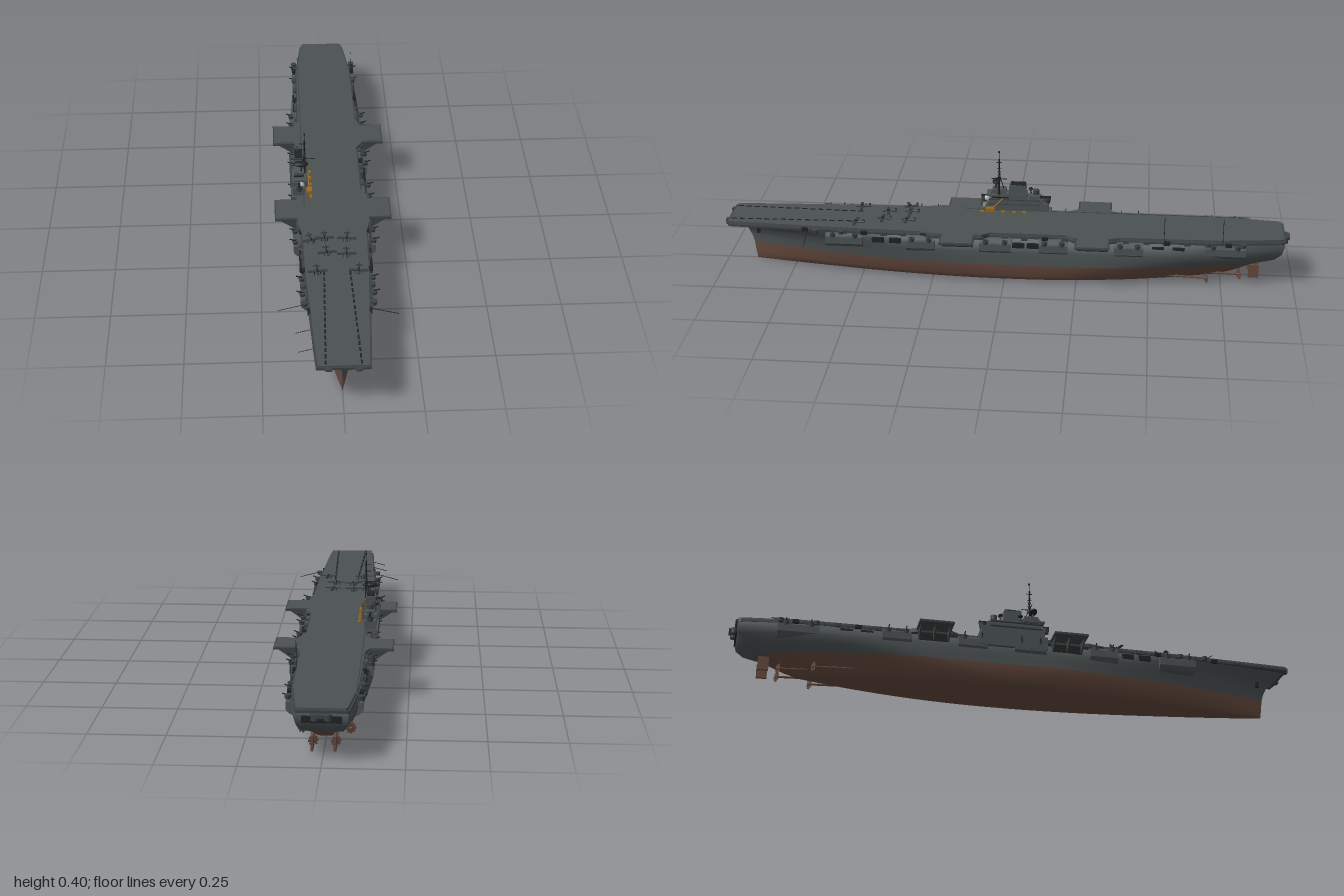
import * as THREE from 'three';

const mat = (name, color, side = THREE.FrontSide) => {
  const m = new THREE.MeshStandardMaterial({ color, side });
  m.name = name;
  return m;
};

export function createModel() {
  const ship = new THREE.Group();
  ship.name = 'aircraftCarrier';
  const deckGrey = mat('deck grey', 0x4b5052);
  const hullGrey = mat('hull grey', 0x4d5353, THREE.DoubleSide);
  const hullRed = mat('underwater brown', 0x65493e, THREE.DoubleSide);
  const trim = mat('trim grey', 0x3c4242, THREE.DoubleSide);
  const dark = mat('dark opening', 0x1f2323);
  const planeGrey = mat('aircraft grey', 0x343c3e);
  const yellow = mat('crane yellow', 0x9a6a1c);
  const pale = mat('pale dome', 0xb4b8b8);

  const add = (name, geo, m, x = 0, y = 0, z = 0, parent = ship) => {
    const mesh = new THREE.Mesh(geo, m);
    mesh.name = name;
    mesh.position.set(x, y, z);
    parent.add(mesh);
    return mesh;
  };
  const box = (name, m, w, h, d, x, y, z, parent) => add(name, new THREE.BoxGeometry(w, h, d), m, x, y, z, parent);
  const cyl = (name, m, r0, r1, h, x, y, z, parent, n = 12) => add(name, new THREE.CylinderGeometry(r0, r1, h, n), m, x, y, z, parent);
  const rod = (name, m, a, b, r) => {
    const p = new THREE.Vector3(...a), q = new THREE.Vector3(...b), d = q.clone().sub(p);
    const mesh = cyl(name, m, r, r, d.length(), 0, 0, 0, ship, 6);
    mesh.position.copy(p).add(q).multiplyScalar(0.5);
    mesh.quaternion.setFromUnitVectors(new THREE.Vector3(0, 1, 0), d.normalize());
  };

  // Hull levels: y, bow z, stern z, max half width, bow half width, stern half width, entrance length, run length
  const levels = [
    [0.004, 0.895, -0.70, 0.095, 0.000, 0.004, 0.95, 0.70],
    [0.010, 0.897, -0.74, 0.114, 0.001, 0.010, 0.92, 0.68],
    [0.030, 0.900, -0.79, 0.128, 0.002, 0.022, 0.88, 0.66],
    [0.070, 0.905, -0.86, 0.130, 0.002, 0.045, 0.84, 0.60],
    [0.095, 0.912, -0.93, 0.130, 0.002, 0.064, 0.80, 0.55],
    [0.120, 0.925, -0.955, 0.130, 0.003, 0.076, 0.76, 0.50],
    [0.140, 0.943, -0.96, 0.125, 0.020, 0.080, 0.72, 0.45],
    [0.155, 0.960, -0.96, 0.112, 0.050, 0.080, 0.60, 0.35],
    [0.168, 0.975, -0.955, 0.102, 0.074, 0.078, 0.50, 0.25],
  ];
  const N = 48;
  const hullPoint = (l, j) => {
    const [y, zb, zs, w, wb, ws, L, R] = l;
    const z = zb + (zs - zb) * (0.5 - 0.5 * Math.cos(Math.PI * j / N));
    const u = Math.min(1, (zb - z) / L), v = Math.min(1, (z - zs) / R);
    const bow = wb + (w - wb) * (1 - Math.pow(1 - u, 1.9));
    const stern = ws + (w - ws) * (1 - Math.pow(1 - v, 2));
    return [Math.min(bow, stern), y, z];
  };
  // Cross-section rows joined from bow to stern
  const skin = (rows) => {
    const pos = [], idx = [], n = rows[0].length;
    rows.forEach(r => r.forEach(p => pos.push(...p)));
    for (let i = 0; i < rows.length - 1; i++) for (let j = 0; j < n - 1; j++) {
      const a = i * n + j, c = a + n;
      idx.push(a, a + 1, c, a + 1, c + 1, c);
    }
    const g = new THREE.BufferGeometry();
    g.setAttribute('position', new THREE.Float32BufferAttribute(pos, 3));
    g.setIndex(idx);
    g.computeVertexNormals();
    return g;
  };
  const row = (l, s) => Array.from({ length: N + 1 }, (_, j) => {
    const [x, y, z] = hullPoint(l, j);
    return [x * s, y, z];
  });
  const under = levels.slice(0, 4), upper = levels.slice(3);
  const flip = (ls) => [...ls].reverse();
  add('underwaterHull', skin([...flip(under).map(l => row(l, -1)), ...under.map(l => row(l, 1))]), hullRed);
  add('hullSideLeft', skin(upper.map(l => row(l, 1))), hullGrey);
  add('hullSideRight', skin(flip(upper).map(l => row(l, -1))), hullGrey);
  for (const [ls, m] of [[under, hullRed], [upper, hullGrey]]) for (const j of [0, N]) {
    const end = ls.map(l => { const [x, y, z] = hullPoint(l, j); return [[x, y, z], [-x, y, z]]; });
    add(j ? 'transom' : 'stem', skin(j ? end : flip(end)), m);
  }

  // Flight deck with a darker catwalk just below
  const outline = [[0.079, 0.975], [0.084, 0.9], [0.104, 0.5], [0.108, 0.3], [0.122, 0.24], [0.122, 0.08], [0.101, 0.05],
    [0.101, -0.21], [0.122, -0.24], [0.122, -0.36], [0.106, -0.4], [0.102, -0.75], [0.078, -0.95], [0.072, -0.96]];
  const slab = (extra, h) => {
    const half = outline.map(([x, z]) => new THREE.Vector2(x + extra, -z));
    const shape = new THREE.Shape([...half, ...half.map(p => new THREE.Vector2(-p.x, p.y)).reverse()]);
    return new THREE.ExtrudeGeometry(shape, { depth: h, bevelEnabled: false }).rotateX(-Math.PI / 2);
  };
  add('catwalk', slab(0.006, 0.007), trim, 0, 0.161, 0);
  add('flightDeck', slab(0, 0.011), deckGrey, 0, 0.167, 0);

  // Deck markings: catapult tracks, deck edge line, ramps
  for (const s of [-1, 1]) {
    for (let i = 0; i < 16; i++)
      box('catapultTrack', dark, 0.006, 0.002, 0.018, s * (0.043 + 0.012 * (1 - i / 15)), 0.1785, 0.96 - i * 0.029);
    box('bridleCatcher', trim, 0.02, 0.008, 0.016, s * 0.047, 0.17, 0.982);
    cyl('sternGun', trim, 0.012, 0.012, 0.02, s * 0.02, 0.152, -0.967);
  }
  box('deckEdgeLine', trim, 0.003, 0.002, 1.0, -0.097, 0.1783, -0.35);
  box('bowRamp', trim, 0.156, 0.008, 0.008, 0, 0.17, 0.978);
  box('sternRamp', trim, 0.15, 0.008, 0.01, 0, 0.168, -0.962);
  box('sternOpening', dark, 0.12, 0.022, 0.005, 0, 0.142, -0.961);
  box('sternPlatform', trim, 0.04, 0.01, 0.03, 0, 0.158, -0.97);

  for (const s of [-1, 1]) {
    // Deck edge elevators on tapering brackets
    for (const z of [0.16, -0.305]) {
      box('elevator', trim, 0.09, 0.007, 0.118, s * 0.154, 0.1725, z);
      box('elevatorTop', deckGrey, 0.082, 0.003, 0.106, s * 0.154, 0.177, z);
      box('hangarDoor', dark, 0.006, 0.036, 0.1, s * 0.124, 0.144, z);
      for (const dz of [-0.05, 0, 0.05]) {
        const tri = new THREE.Shape([new THREE.Vector2(0.115, 0.17), new THREE.Vector2(0.115, 0.13), new THREE.Vector2(0.135, 0.135), new THREE.Vector2(0.185, 0.17)]);
        const b = add('elevatorBracket', new THREE.ExtrudeGeometry(tri, { depth: 0.005, bevelEnabled: false }), trim, 0, 0, z + dz - 0.0025);
        b.scale.x = s;
      }
    }
    // Side sponsons with sloping undersides
    for (const [z, len, out] of [[0.29, 0.1, 0.138], [-0.43, 0.1, 0.136], [0.03, 0.11, 0.138], [-0.17, 0.1, 0.136], [0.56, 0.13, 0.122], [-0.76, 0.14, 0.118]]) {
      const sec = new THREE.Shape([new THREE.Vector2(0.09, 0.165), new THREE.Vector2(0.09, 0.105), new THREE.Vector2(out - 0.012, 0.112), new THREE.Vector2(out, 0.125), new THREE.Vector2(out, 0.15), new THREE.Vector2(out - 0.012, 0.15), new THREE.Vector2(out - 0.02, 0.165)]);
      add('sponson', new THREE.ExtrudeGeometry(sec, { depth: len, bevelEnabled: false }), hullGrey, 0, 0, z - len / 2).scale.x = s;
      // Twin guns in round tubs
      for (const dz of [-0.3, 0.3]) {
        cyl('gunTub', trim, 0.011, 0.008, 0.014, s * (out - 0.006), 0.155, z + dz * len);
        const barrel = box('gunBarrel', dark, 0.022, 0.003, 0.003, s * (out + 0.002), 0.165, z + dz * len);
        barrel.rotation.z = s * 0.35;
      }
    }
    // Hangar openings, boats and gallery fittings
    for (const z of [-0.1, -0.05, -0.53, -0.6, 0.38, 0.44])
      box('sideOpening', dark, 0.008, 0.018, 0.042, s * (Math.abs(z) > 0.3 ? 0.117 : 0.123), 0.143, z);
    for (let i = 0; i < 22; i++) {
      const z = 0.7 - i * 0.07;
      if (Math.abs(z - 0.16) < 0.07 || Math.abs(z + 0.305) < 0.07) continue;
      const x = 0.112 - Math.max(0, z - 0.45) * 0.06;
      box('catwalkLocker', i % 3 ? trim : dark, 0.012, 0.012, 0.022, s * x, 0.165, z);
    }
    for (const z of [0.66, 0.57, -0.7, -0.82]) cyl('galleryTub', trim, 0.011, 0.009, 0.012, s * 0.112, 0.165, z);
    // Bow anchor
    box('anchor', dark, 0.006, 0.02, 0.012, s * 0.027, 0.122, 0.882);
    // Rudder, shafts and propellers
    box('rudder', hullRed, 0.008, 0.048, 0.036, s * 0.035, 0.036, -0.865);
    for (const [x, z] of [[0.035, -0.815], [0.075, -0.70]]) {
      rod('propellerShaft', hullRed, [s * x, 0.03, z + 0.2], [s * x, 0.022, z], 0.004);
      add('propellerHub', new THREE.SphereGeometry(0.006, 10, 8), hullRed, s * x, 0.022, z);
      for (let k = 0; k < 4; k++) {
        const blade = box('propellerBlade', hullRed, 0.008, 0.034, 0.002, s * x, 0.022, z);
        blade.rotation.set(0, 0.4, k * Math.PI / 4);
      }
    }
  }
  // Outboard radio masts and whip aerials
  for (const [a, b] of [[[-0.1, 0.165, 0.66], [-0.195, 0.14, 0.66]], [[-0.09, 0.16, 0.78], [-0.145, 0.145, 0.78]], [[-0.08, 0.16, 0.87], [-0.135, 0.145, 0.87]], [[0.1, 0.165, 0.69], [0.19, 0.14, 0.69]]])
    rod('outboardMast', dark, a, b, 0.0012);
  for (const z of [-0.55, -0.75]) rod('whipAerial', dark, [0.108, 0.165, z], [0.108, 0.26, z], 0.001);

  // Island superstructure
  const island = new THREE.Group();
  island.name = 'island';
  ship.add(island);
  const tiers = [[0.042, 0.03, 0.22, -0.113, 0.192, -0.03], [0.046, 0.018, 0.19, -0.113, 0.214, -0.025], [0.04, 0.022, 0.13, -0.112, 0.232, 0.0],
    [0.05, 0.006, 0.07, -0.111, 0.237, 0.045], [0.034, 0.018, 0.05, -0.111, 0.249, 0.035], [0.03, 0.012, 0.04, -0.112, 0.228, -0.09]];
  for (const [w, h, d, x, y, z] of tiers) box('islandTier', hullGrey, w, h, d, x, y, z, island);
  box('islandSponson', hullGrey, 0.035, 0.045, 0.24, -0.122, 0.155, -0.03, island);
  const stack = box('funnel', hullGrey, 0.034, 0.055, 0.06, -0.112, 0.247, -0.03, island);
  stack.rotation.x = -0.06;
  box('funnelCap', dark, 0.028, 0.006, 0.052, -0.112, 0.275, -0.032, island);
  for (const s of [-1, 1]) {
    box('bridgeWindows', dark, 0.003, 0.005, 0.06, -0.112 + s * 0.0205, 0.238 - 0.01, 0.03, island);
    for (const y of [0.206, 0.223]) box('walkway', trim, 0.008, 0.003, 0.18, -0.113 + s * 0.026, y, -0.02, island);
  }
  box('bridgeFrontWindows', dark, 0.034, 0.005, 0.003, -0.112, 0.246, 0.0605, island);
  for (const z of [0.088, -0.135, -0.11]) {
    cyl('islandGunTub', trim, 0.013, 0.01, 0.018, -0.112, 0.214, z, island);
    box('islandGun', dark, 0.008, 0.008, 0.024, -0.112, 0.226, z, island);
  }
  add('directorDome', new THREE.SphereGeometry(0.011, 14, 10), pale, -0.105, 0.22, 0.078, island);
  cyl('director', trim, 0.012, 0.012, 0.016, -0.112, 0.246, -0.095, island);
  // Mast, yards and radars
  cyl('mast', dark, 0.0022, 0.004, 0.15, -0.092, 0.3, 0.035, island, 8);
  cyl('topMast', dark, 0.001, 0.001, 0.03, -0.092, 0.387, 0.035, island, 6);
  box('mastHead', dark, 0.004, 0.006, 0.006, -0.092, 0.401, 0.035, island);
  for (const [y, w] of [[0.3, 0.08], [0.338, 0.022], [0.362, 0.026]]) {
    box('yard', dark, w, 0.002, 0.002, -0.098, y, 0.035, island);
    box('yardFore', dark, 0.002, 0.002, w * 0.7, -0.092, y, 0.035, island);
  }
  for (const y of [0.312, 0.325]) cyl('mastPlatform', trim, 0.006, 0.004, 0.006, -0.092, y, 0.035, island);
  for (const s of [-1, 1]) rod('mastLeg', dark, [-0.105, 0.25, 0.035 + s * 0.018], [-0.092, 0.32, 0.035], 0.0015);
  for (const [x, y, z, r] of [[-0.105, 0.286, 0.045, 0.026], [-0.13, 0.252, -0.005, 0.015], [-0.128, 0.25, -0.075, 0.014]]) {
    add('radarDish', new THREE.SphereGeometry(r, 16, 10), dark, x, y, z, island).scale.set(1, 0.32, 0.55);
    cyl('radarPost', trim, 0.003, 0.004, 0.03, x, y - 0.018, z, island, 8);
  }

  // Deck cranes and tractors beside the island
  box('craneBody', yellow, 0.018, 0.014, 0.03, -0.077, 0.187, 0.065);
  rod('craneJib', yellow, [-0.077, 0.19, 0.06], [-0.08, 0.23, 0.02], 0.0025);
  for (const z of [0.02, -0.02, -0.055, 0.095]) box('tractor', yellow, 0.009, 0.007, 0.015, -0.073, 0.181, z);

  // Parked aircraft
  const aircraft = (x, z, turn) => {
    const g = new THREE.Group();
    g.name = 'aircraft';
    g.position.set(x, 0.189, z);
    g.rotation.y = turn;
    ship.add(g);
    const body = add('fuselage', new THREE.CylinderGeometry(0.0022, 0.0042, 0.046, 8), planeGrey, 0, 0, -0.004, g);
    body.rotation.x = Math.PI / 2;
    add('nose', new THREE.SphereGeometry(0.0042, 8, 6), planeGrey, 0, 0, 0.019, g);
    box('wing', planeGrey, 0.064, 0.002, 0.011, 0, 0.001, 0.004, g);
    box('tailplane', planeGrey, 0.022, 0.0015, 0.006, 0, 0.001, -0.024, g);
    box('fin', planeGrey, 0.0015, 0.01, 0.007, 0, 0.006, -0.024, g);
    box('canopy', dark, 0.004, 0.004, 0.012, 0, 0.004, 0.004, g);
    for (const s of [-1, 1]) box('wheelLeg', dark, 0.002, 0.01, 0.003, s * 0.01, -0.006, 0.006, g);
  };
  [[-0.08, 0.35, 0.3], [-0.035, 0.34, 0], [0.04, 0.345, -0.1], [-0.03, 0.42, 0.15], [0.035, 0.43, 0], [-0.065, 0.52, 0.1], [0.07, 0.52, -0.1]]
    .forEach(a => aircraft(...a));
  return ship;
}
